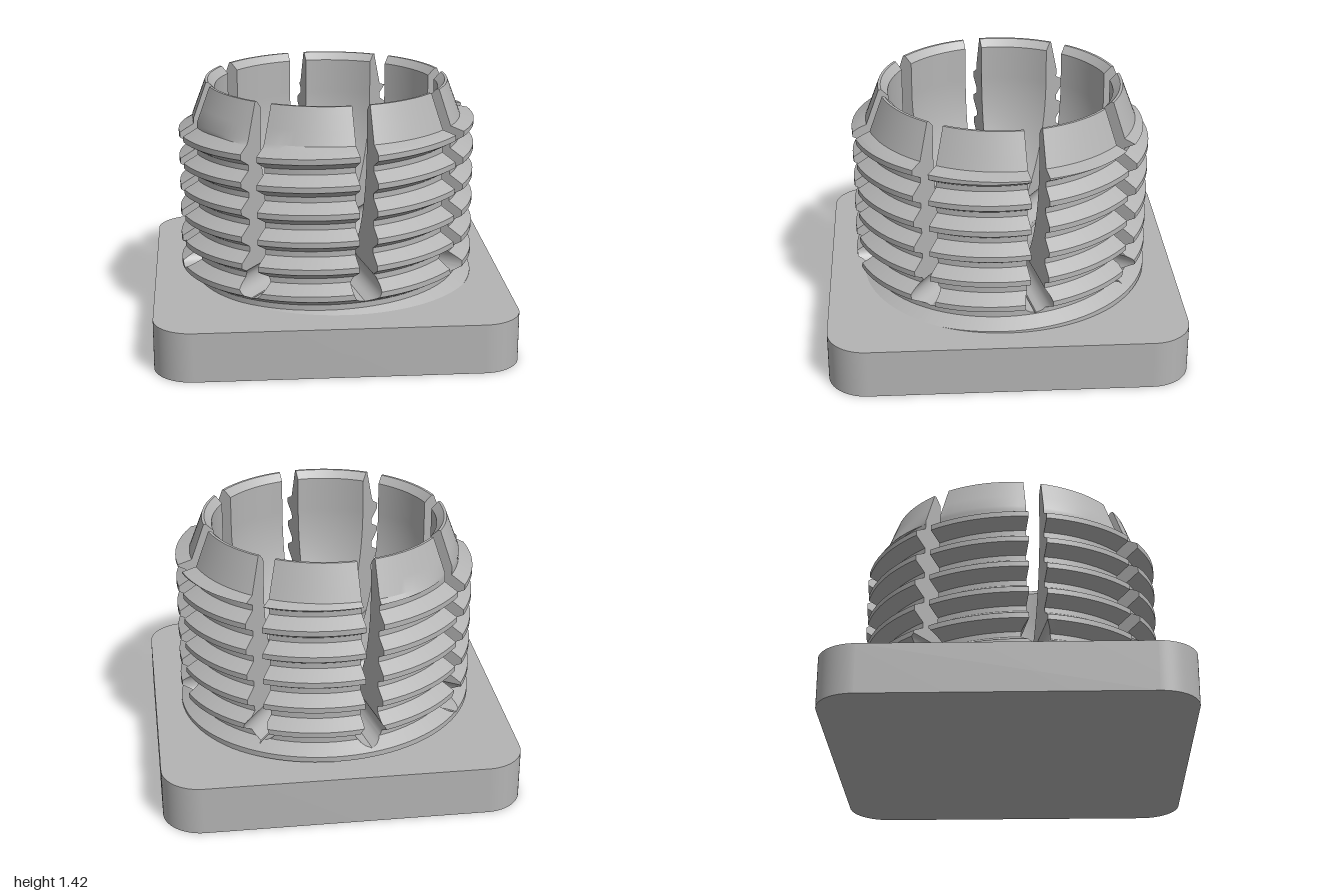
import * as THREE from 'three';
import { toCreasedNormals } from 'three/addons/utils/BufferGeometryUtils.js';

const TAU = Math.PI * 2;
const BASE_TOP = 0.28, THREAD_TOP = 1.2, TOP = 1.42;
const PITCH = 0.154, ROOT = 0.765, CREST = 0.845;
const SLOTS = 8, SLOT_START = -11.25 * Math.PI / 180;
const BOWL_R = 0.635, BOWL_Y = 1.18, BOWL_DEPTH = 0.87;

// Grid surface from a function (i, j) -> [x, y, z]
function patch(nu, nv, fn) {
  const pos = [], index = [];
  for (let j = 0; j <= nv; j++) for (let i = 0; i <= nu; i++) pos.push(...fn(i, j));
  for (let j = 0; j < nv; j++) for (let i = 0; i < nu; i++) {
    const a = j * (nu + 1) + i, b = a + 1, c = a + nu + 1, d = c + 1;
    index.push(a, c, b, b, c, d);
  }
  const g = new THREE.BufferGeometry();
  g.setAttribute('position', new THREE.Float32BufferAttribute(pos, 3));
  g.setIndex(index);
  return toCreasedNormals(g, 0.5);
}

// Half width of a slot at a height: straight slot ending in a round hole
function slotHalf(y) {
  if (y > 0.492) return 0.05;
  return Math.sqrt(Math.max(0, 0.08 ** 2 - (y - 0.43) ** 2));
}

// Helical thread and the cone above it
function outerRadius(phi, y) {
  if (y > THREAD_TOP + 0.001) return THREE.MathUtils.mapLinear(y, 1.22, TOP, ROOT, 0.69);
  const t = (y - THREAD_TOP) / PITCH + phi / TAU;
  const d = Math.abs(t - Math.round(t));
  return THREE.MathUtils.lerp(CREST, ROOT, THREE.MathUtils.clamp((d - 0.1) / 0.3, 0, 1));
}

// Rounded cavity, straight wall and rim chamfer
function innerRadius(y) {
  if (y > 1.38) return BOWL_R + (y - 1.38);
  if (y > BOWL_Y) return BOWL_R;
  const h = (BOWL_Y - Math.max(y, 0.345)) / BOWL_DEPTH;
  return BOWL_R * Math.sqrt(1 - h * h);
}

// Rows follow the helix so that the thread edges stay crisp
const rows = [];
const breaks = [-0.4, -0.1, 0.1, 0.4, 0.6];
for (let turn = -9; turn <= 1; turn++)
  for (let k = 0; k < 4; k++)
    for (let s = 0; s < 4; s++)
      rows.push(THREAD_TOP + PITCH * (turn + THREE.MathUtils.lerp(breaks[k], breaks[k + 1], s / 4)));
const upper = [1.22, 1.3, 1.38, TOP];
const NV = rows.length + upper.length - 1;

function rowHeight(j, phi) {
  if (j >= rows.length) return upper[j - rows.length];
  return THREE.MathUtils.clamp(rows[j] - PITCH * phi / TAU, BASE_TOP, THREAD_TOP);
}

// One springy wedge of the collar between two slots
function wedge(start, material) {
  const span = TAU / SLOTS, NU = 12;
  const point = (u, j, radiusAt) => {
    const nominal = start + u * span;
    const y = rowHeight(j, nominal);
    const r = radiusAt(nominal, y);
    const gap = Math.asin(Math.min(1, slotHalf(y) / r));
    const phi = start + gap + u * (span - 2 * gap);
    return [r * Math.cos(phi), y, r * Math.sin(phi)];
  };
  const outer = (u, j) => point(u, j, outerRadius);
  const inner = (u, j) => point(u, j, (phi, y) => innerRadius(y));
  const parts = {
    threadedWall: patch(NU, NV, (i, j) => outer(i / NU, j)),
    cavityWall: patch(NU, NV, (i, j) => inner(1 - i / NU, j)),
    slotSideA: patch(1, NV, (i, j) => (i ? outer : inner)(0, j)),
    slotSideB: patch(1, NV, (i, j) => (i ? inner : outer)(1, j)),
    rim: patch(NU, 1, (i, j) => (j ? inner : outer)(i / NU, NV)),
  };
  const group = new THREE.Group();
  group.name = 'collarWedge';
  for (const [name, geometry] of Object.entries(parts)) {
    const mesh = new THREE.Mesh(geometry, material);
    mesh.name = name;
    group.add(mesh);
  }
  return group;
}

// Square plate with rounded corners
function plateGeometry() {
  const s = new THREE.Shape(), r = 0.22, q = Math.PI / 2;
  [[1, 1], [-1, 1], [-1, -1], [1, -1]].forEach(([x, y], i) =>
    s.absarc(x * (1 - r), y * (1 - r), r, i * q, (i + 1) * q, false));
  s.closePath();
  const g = new THREE.ExtrudeGeometry(s, { depth: BASE_TOP, bevelEnabled: false, curveSegments: 14 });
  g.rotateX(-Math.PI / 2);
  return toCreasedNormals(g, 0.5);
}

export function createModel() {
  const model = new THREE.Group();
  model.name = 'threadedInsert';
  const grey = new THREE.MeshStandardMaterial({ color: 0xb4b4b4 });
  grey.name = 'grey';

  const plate = new THREE.Mesh(plateGeometry(), grey);
  plate.name = 'basePlate';
  model.add(plate);

  const collar = new THREE.Group();
  collar.name = 'collar';
  for (let i = 0; i < SLOTS; i++) collar.add(wedge(SLOT_START + i * TAU / SLOTS, grey));
  model.add(collar);

  // Bottom of the rounded cavity
  const profile = [];
  for (let i = 0; i <= 8; i++) {
    const r = 0.185 * i / 8;
    profile.push(new THREE.Vector2(r, BOWL_Y - BOWL_DEPTH * Math.sqrt(1 - (r / BOWL_R) ** 2)));
  }
  const floor = new THREE.Mesh(new THREE.LatheGeometry(profile, 64), grey);
  floor.name = 'cavityFloor';
  model.add(floor);
  // Lathe faces must look up into the cavity
  const n = floor.geometry.attributes.normal;
  if (n.getY(4) < 0) {
    floor.geometry.index.array.reverse();
    for (let i = 0; i < n.array.length; i++) n.array[i] *= -1;
  }
  return model;
}
